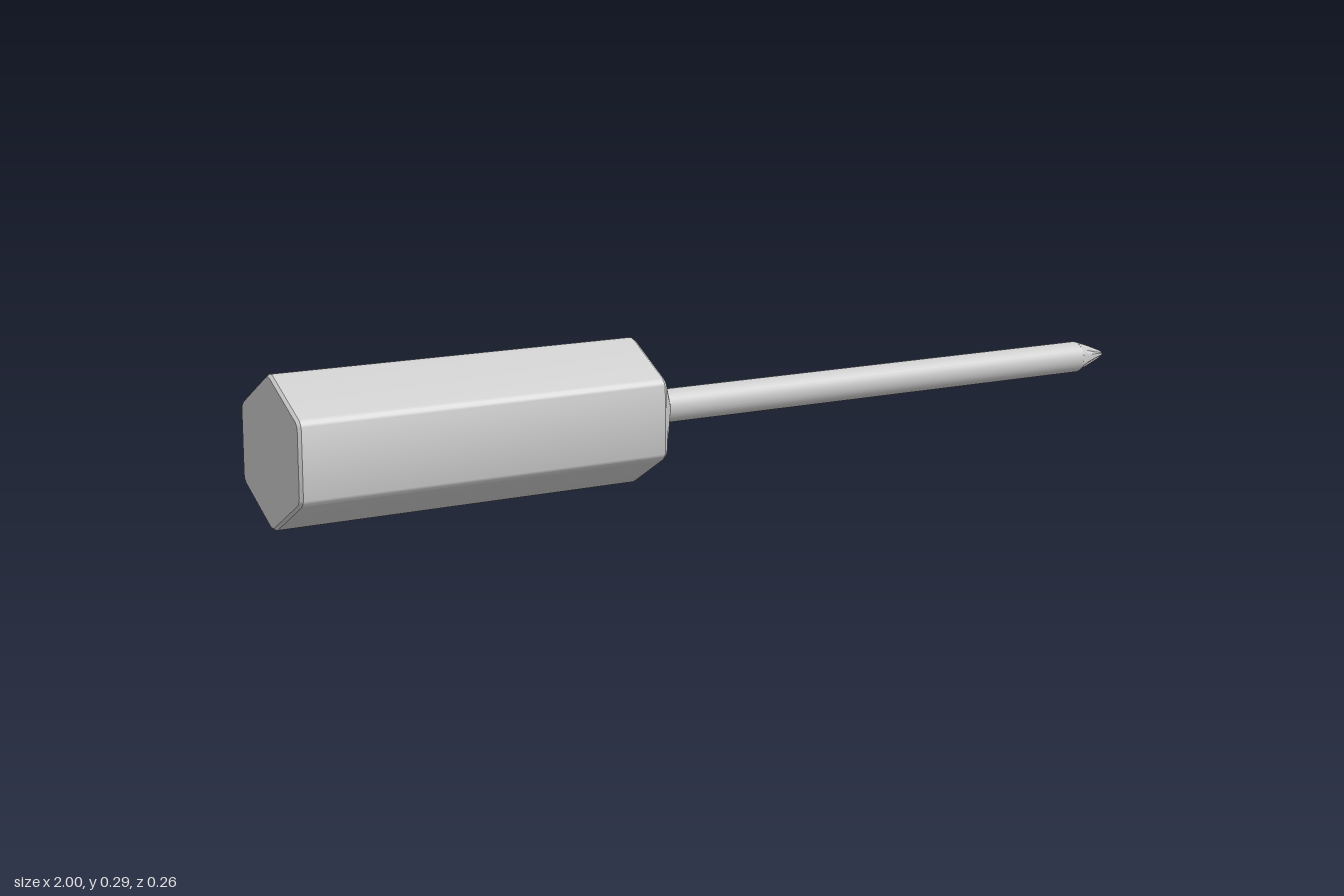
import * as THREE from 'three';
import { toCreasedNormals } from 'three/addons/utils/BufferGeometryUtils.js';

const AXIS_Y = 0.147;

// Skin closed rings of [y, z] points placed along x, with both ends capped.
function loft(sections, crease) {
  const n = sections[0].ring.length, pos = [], index = [];
  for (const { x, ring } of sections) for (const [y, z] of ring) pos.push(x, y, z);
  const last = (sections.length - 1) * n, c0 = pos.length / 3, c1 = c0 + 1;
  pos.push(sections[0].x, 0, 0, sections[sections.length - 1].x, 0, 0);
  for (let j = 0; j < n; j++) {
    const k = (j + 1) % n;
    for (let i = 0; i < last; i += n) {
      index.push(i + j, i + k, i + n + j, i + k, i + n + k, i + n + j);
    }
    index.push(c0, k, j, c1, last + j, last + k);
  }
  const g = new THREE.BufferGeometry();
  g.setAttribute('position', new THREE.Float32BufferAttribute(pos, 3));
  g.setIndex(index);
  return toCreasedNormals(g, crease);
}

// Hexagon with softly rounded corners, one corner pointing up.
function hexRing(apothem, round) {
  const ring = [], d = (apothem - round) / Math.cos(Math.PI / 6);
  for (let k = 0; k < 6; k++) {
    const a = k * Math.PI / 3;
    for (let s = -2; s <= 2; s++) {
      const b = a + s * Math.PI / 12;
      ring.push([d * Math.cos(a) + round * Math.cos(b), d * Math.sin(a) + round * Math.sin(b)]);
    }
  }
  return ring;
}

// Circle with four V-shaped flutes of the given depth (a fraction of the radius).
function flutedRing(radius, depth) {
  const ring = [], n = 48;
  for (let j = 0; j < n; j++) {
    const a = j / n * Math.PI * 2;
    const fromFlute = Math.abs(((j + 6) % 12) - 6) / 4;
    const r = radius * (1 - depth * Math.max(0, 1 - fromFlute));
    const t = a + Math.PI / 4;
    ring.push([r * Math.cos(t), r * Math.sin(t)]);
  }
  return ring;
}

export function createModel() {
  const group = new THREE.Group();
  const material = new THREE.MeshStandardMaterial({ color: 0xcccccc });
  const add = (name, geometry) => {
    const mesh = new THREE.Mesh(geometry, material);
    mesh.name = name;
    mesh.position.y = AXIS_Y;
    group.add(mesh);
  };

  // Hexagonal grip with a slightly eased butt and a tapered collar
  add('handle', loft([
    { x: -1, ring: hexRing(0.125, 0.02) },
    { x: -0.994, ring: hexRing(0.1295, 0.023) },
    { x: -0.23, ring: hexRing(0.1295, 0.023) },
    { x: -0.223, ring: hexRing(0.125, 0.023) },
    { x: -0.16, ring: hexRing(0.036, 0.026) },
  ], 0.45));

  // Round shaft
  const shaft = new THREE.CylinderGeometry(0.034, 0.034, 1.12, 32, 1, true);
  shaft.rotateZ(-Math.PI / 2).translate(0.36, 0, 0);
  add('shaft', shaft);

  // Pointed cross tip with four shallow flutes
  add('crossTip', loft([
    { x: 0.92, ring: flutedRing(0.034, 0) },
    { x: 0.945, ring: flutedRing(0.026, 0.2) },
    { x: 0.97, ring: flutedRing(0.017, 0.35) },
    { x: 0.993, ring: flutedRing(0.008, 0.4) },
    { x: 1, ring: flutedRing(0.003, 0.3) },
  ], 0.5));

  return group;
}
